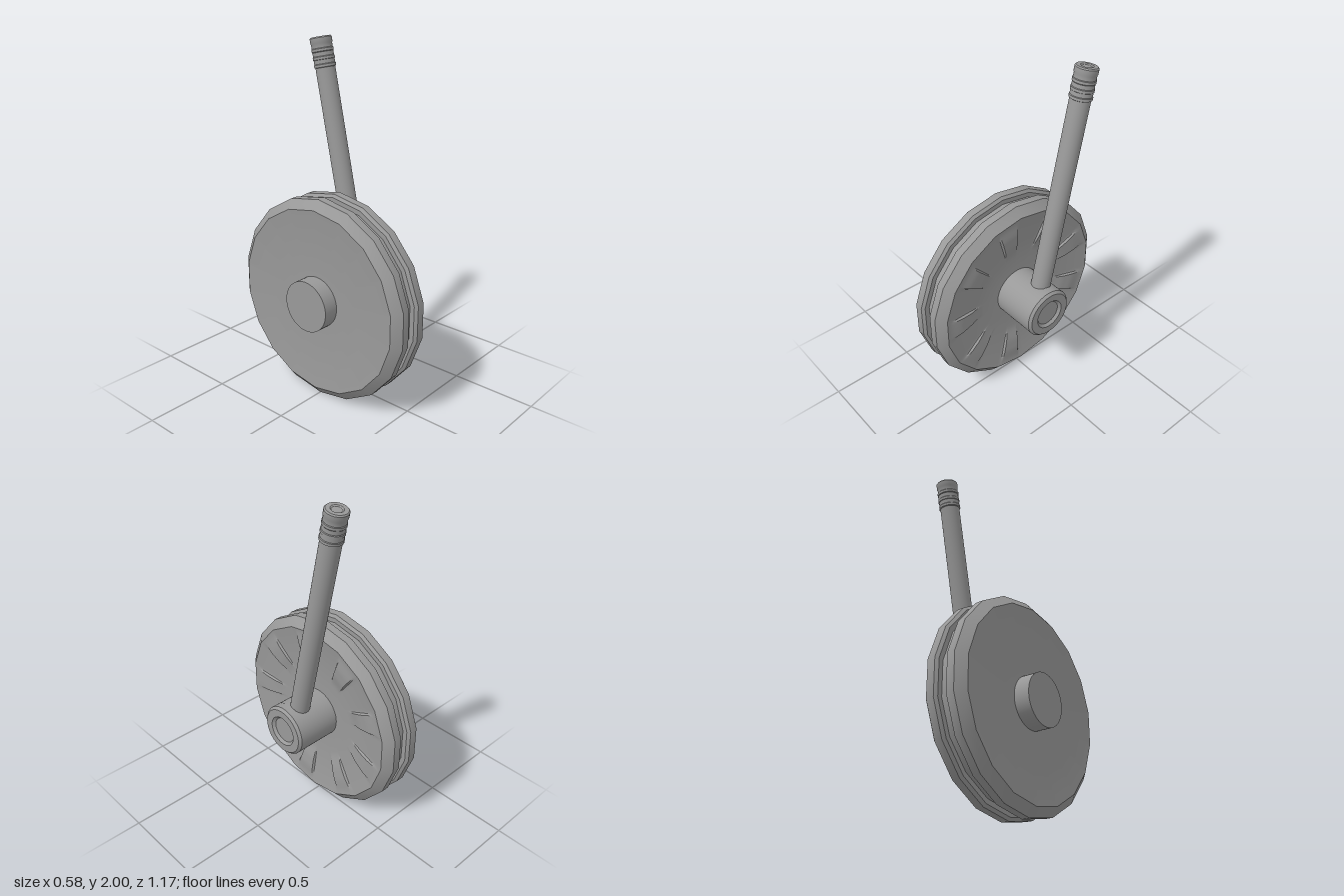
import * as THREE from 'three';
import { toCreasedNormals } from 'three/addons/utils/BufferGeometryUtils.js';

const AXLE_Y = 0.594;
const grey = new THREE.MeshStandardMaterial({ color: 0x999999 });
const openGrey = new THREE.MeshStandardMaterial({ color: 0x999999, side: THREE.DoubleSide });

function add(parent, name, geometry, material = grey) {
  const mesh = new THREE.Mesh(geometry, material);
  mesh.name = name;
  parent.add(mesh);
  return mesh;
}

// Turned solid from [radius, height] pairs, listed from bottom to top
function turned(profile, sides, start = 0) {
  const points = profile.map(([r, h]) => new THREE.Vector2(r, h));
  return toCreasedNormals(new THREE.LatheGeometry(points, sides, start), 0.5);
}

// Dished wheel face in the xy plane, with nine raised radial pads
function dishedFace(depth, padHeight) {
  const inner = 0.14, outer = 0.54;
  const geometry = new THREE.RingGeometry(inner, outer, 360, 26);
  const p = geometry.attributes.position;
  const step = THREE.MathUtils.smoothstep;
  for (let i = 0; i < p.count; i++) {
    const angle = Math.atan2(p.getY(i), p.getX(i));
    const degrees = THREE.MathUtils.radToDeg(angle) + 360;
    // stretch the outline to an 18-sided polygon
    const fromSide = ((degrees + 10) % 20) - 10;
    const edge = outer * Math.cos(Math.PI / 18) / Math.cos(THREE.MathUtils.degToRad(fromSide));
    const t = (Math.hypot(p.getX(i), p.getY(i)) - inner) / (outer - inner);
    const r = inner + t * (edge - inner);
    // distance from the nearest pad centre line
    const fromPad = Math.abs((degrees % 40) - 20);
    const pad = padHeight * (1 - step(fromPad, 7, 8.2)) * step(r, 0.27, 0.38) * (1 - step(r, 0.42, 0.53));
    p.setXYZ(i, r * Math.cos(angle), r * Math.sin(angle), -depth * (1 - t * t) + pad);
  }
  return toCreasedNormals(geometry, 0.45);
}

export function createModel() {
  const model = new THREE.Group();
  model.name = 'wheelWithLever';

  // Wheel and hub turn about the x axis
  const wheel = new THREE.Group();
  wheel.name = 'wheel';
  wheel.position.y = AXLE_Y;
  model.add(wheel);

  // Grooved 18-sided rim, shaded smoothly around its circumference
  const rim = add(wheel, 'groovedRim', turned([
    [0.54, -0.22], [0.592, -0.177], [0.592, -0.13], [0.575, -0.117], [0.547, -0.117],
    [0.547, -0.063], [0.575, -0.063], [0.592, -0.05], [0.592, -0.003], [0.54, 0.042],
  ], 18, Math.PI / 2));
  rim.rotation.z = -Math.PI / 2;

  // Wheel faces
  const outerFace = add(wheel, 'outerFace', dishedFace(0.035, 0.014));
  outerFace.rotation.y = Math.PI / 2;
  outerFace.position.x = 0.042;
  const innerFace = add(wheel, 'innerFace', dishedFace(0.02, 0));
  innerFace.rotation.y = -Math.PI / 2;
  innerFace.position.x = -0.22;

  // Hub with a chamfered, recessed end
  const hub = add(wheel, 'hub', turned([
    [0, -0.29], [0.148, -0.29], [0.148, 0.272], [0.134, 0.287],
    [0.09, 0.287], [0.075, 0.272], [0, 0.272],
  ], 48));
  hub.rotation.z = -Math.PI / 2;

  // Lever leaning back from the hub
  const lever = new THREE.Group();
  lever.name = 'lever';
  lever.position.set(0.176, AXLE_Y, 0);
  lever.rotation.x = -0.214;
  model.add(lever);
  add(lever, 'leverShaft', new THREE.CylinderGeometry(0.056, 0.056, 1.2, 32, 1, true).translate(0, 0.68, 0));

  // Ribbed grip with a shallow dimple in its end
  const grip = [[0.056, 1.255]];
  for (const h of [1.258, 1.3, 1.344]) {
    grip.push([0.062, h], [0.062, h + 0.014], [0.059, h + 0.018], [0.059, h + 0.04]);
  }
  grip.push([0.062, 1.39], [0.062, 1.417], [0.056, 1.424], [0.034, 1.424], [0.027, 1.419], [0, 1.419]);
  add(lever, 'ribbedGrip', turned(grip, 32));

  // Narrow seat strips on the hub either side of the lever
  for (const [x, lean] of [[0.06, 0.36], [-0.06, -0.24]]) {
    const strip = add(lever, 'seatStrip',
      new THREE.CylinderGeometry(0.151, 0.151, 0.014, 16, 1, true, -0.45, 0.9), openGrey);
    strip.geometry.rotateX(-Math.PI / 2).rotateY(Math.PI / 2);
    strip.position.x = x;
    strip.rotation.x = lean;
  }
  return model;
}
